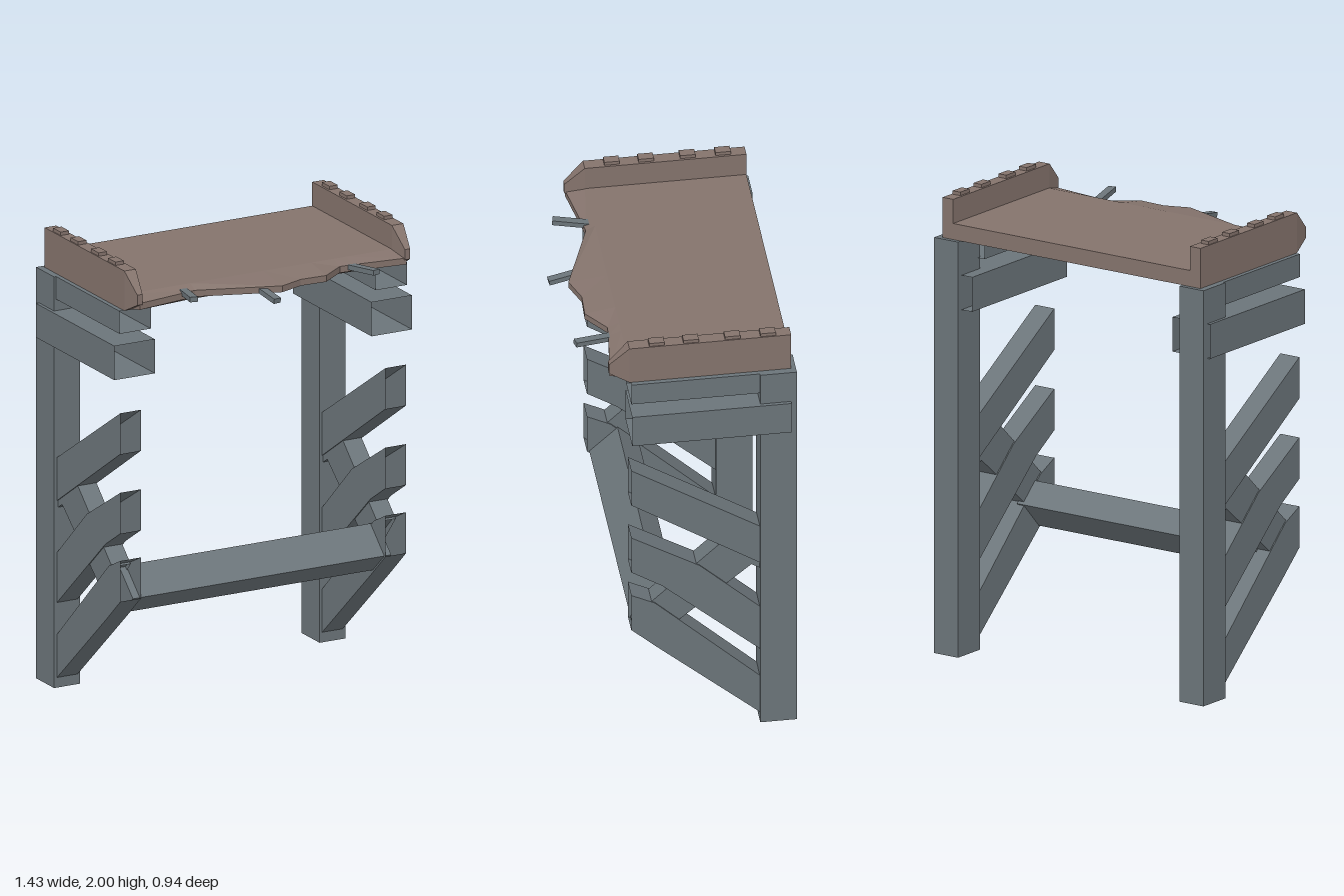
import * as THREE from 'three';

const steel = new THREE.MeshStandardMaterial({ color: 0x6b7479, side: THREE.DoubleSide });
steel.name = 'blue grey steel';
const plank = new THREE.MeshStandardMaterial({ color: 0x84736c, side: THREE.DoubleSide });
plank.name = 'brown deck';

// Joins rings of [x, y, z] points with flat walls; caps close the first and last ring.
function loft(rings, capStart = false, capEnd = false) {
  const tris = [];
  const n = rings[0].length;
  for (let r = 0; r < rings.length - 1; r++) {
    for (let i = 0; i < n; i++) {
      const j = (i + 1) % n;
      const a = rings[r][i], b = rings[r][j], c = rings[r + 1][j], d = rings[r + 1][i];
      tris.push([a, b, c], [a, c, d]);
    }
  }
  const last = rings[rings.length - 1];
  for (let i = 1; i < n - 1; i++) {
    if (capStart) tris.push([rings[0][0], rings[0][i + 1], rings[0][i]]);
    if (capEnd) tris.push([last[0], last[i], last[i + 1]]);
  }
  // Turn all faces outwards
  const all = rings.flat().map(p => new THREE.Vector3(...p));
  const mid = all.reduce((s, p) => s.add(p), new THREE.Vector3()).divideScalar(all.length);
  let volume = 0;
  for (const t of tris) {
    const [a, b, c] = t.map(p => new THREE.Vector3(...p).sub(mid));
    volume += a.dot(b.cross(c));
  }
  if (volume < 0) tris.forEach(t => t.reverse());
  const g = new THREE.BufferGeometry();
  g.setAttribute('position', new THREE.Float32BufferAttribute(tris.flat(2), 3));
  g.computeVertexNormals();
  return g;
}

// Rectangular section in x, following pairs of [z, y] edge points.
function strut(x0, x1, stations, capStart, capEnd) {
  return loft(stations.map(([[za, ya], [zb, yb]]) =>
    [[x0, ya, za], [x1, ya, za], [x1, yb, zb], [x0, yb, zb]]), capStart, capEnd);
}

export function createModel() {
  const model = new THREE.Group();
  const add = (parent, name, geometry, material) => {
    const mesh = new THREE.Mesh(geometry, material);
    mesh.name = name;
    parent.add(mesh);
    return mesh;
  };

  for (const s of [-1, 1]) {
    const side = new THREE.Group();
    side.name = s > 0 ? 'leftSide' : 'rightSide';
    model.add(side);

    // Upright post, open at the foot
    add(side, 'post', strut(s * 0.575, s * 0.70,
      [[[-0.315, 0], [-0.47, 0]], [[-0.315, 1.81], [-0.47, 1.81]]], false, true), steel);

    // Hollow deck beams, open at the front
    add(side, 'upperBeam', strut(s * 0.54, s * 0.69,
      [[[0.23, 1.81], [0.23, 1.71]], [[-0.33, 1.81], [-0.33, 1.71]]]), steel);
    add(side, 'lowerBeam', strut(s * 0.52, s * 0.715,
      [[[0.23, 1.66], [0.23, 1.51]], [[-0.445, 1.66], [-0.445, 1.51]]]), steel);

    // Sloping hollow braces
    const braces = {
      topBrace: [[[0.23, 1.36], [0.23, 1.18]], [[-0.32, 1.01], [-0.32, 0.82]]],
      middleBrace: [[[0.23, 1.01], [0.23, 0.83]], [[-0.06, 0.835], [0.1, 0.747]],
        [[-0.32, 0.59], [-0.32, 0.37]]],
      bottomBrace: [[[0.23, 0.71], [0.23, 0.53]], [[0.13, 0.66], [0.11, 0.42]],
        [[-0.32, 0.23], [-0.32, 0.04]]],
    };
    for (const [name, stations] of Object.entries(braces)) {
      add(side, name, strut(s * 0.587, s * 0.686, stations), steel);
    }
    add(side, 'crossBrace', strut(s * 0.592, s * 0.681,
      [[[0.15, 0.66], [0.05, 0.54]], [[-0.15, 0.94], [-0.28, 0.815]],
        [[-0.32, 0.95], [-0.32, 0.79]]]), steel);

    // Side rail with a tapered nose
    const railRing = (z, xi, xo, y0, y1) =>
      [[s * xi, y0, z], [s * xo, y0, z], [s * xo, y1, z], [s * xi, y1, z]];
    add(side, 'rail', loft([
      railRing(-0.45, 0.615, 0.67, 1.81, 1.985),
      railRing(0.235, 0.615, 0.67, 1.81, 1.985),
      railRing(0.32, 0.63, 0.655, 1.855, 1.9),
    ], true, true), plank);

    // Studs along the rail
    for (const z of [-0.353, -0.203, -0.027, 0.118]) {
      const stud = add(side, 'railStud', new THREE.BoxGeometry(0.04, 0.03, 0.065), plank);
      stud.position.set(s * 0.645, 1.985, z);
    }
  }

  // Tilted bar joining the two sides
  const bar = [[0.22, 0.53], [0.1, 0.64], [0.01, 0.555], [0.12, 0.44]];
  add(model, 'crossBar', loft([-0.62, 0.62].map(x => bar.map(([z, y]) => [x, y, z])), true, true), steel);

  // Deck slab
  const deck = add(model, 'deck', new THREE.BoxGeometry(1.3, 0.07, 0.68), plank);
  deck.position.set(0, 1.845, -0.11);

  // Broken front edge, tapering to a thin lip
  const edge = [[-0.64, 0.315], [-0.35, 0.27], [0, 0.395], [0.11, 0.355],
    [0.23, 0.36], [0.34, 0.28], [0.4, 0.285], [0.64, 0.315]];
  add(model, 'brokenEdge', loft(edge.map(([x, z]) =>
    [[x, 1.88, 0.23], [x, 1.86, z], [x, 1.832, z], [x, 1.81, 0.23]]), true, true), plank);

  // Bent rods poking out of the broken edge
  const rods = [
    [[-0.385, 1.855, 0.2], [-0.428, 1.868, 0.4]],
    [[-0.09, 1.865, 0.22], [-0.066, 1.825, 0.47]],
    [[0.375, 1.845, 0.2], [0.432, 1.862, 0.43]],
  ];
  for (const [from, to] of rods) {
    const a = new THREE.Vector3(...from), b = new THREE.Vector3(...to);
    const rod = add(model, 'rod', new THREE.BoxGeometry(0.034, 0.022, a.distanceTo(b)), steel);
    rod.position.copy(a).lerp(b, 0.5);
    rod.lookAt(b);
  }
  return model;
}
